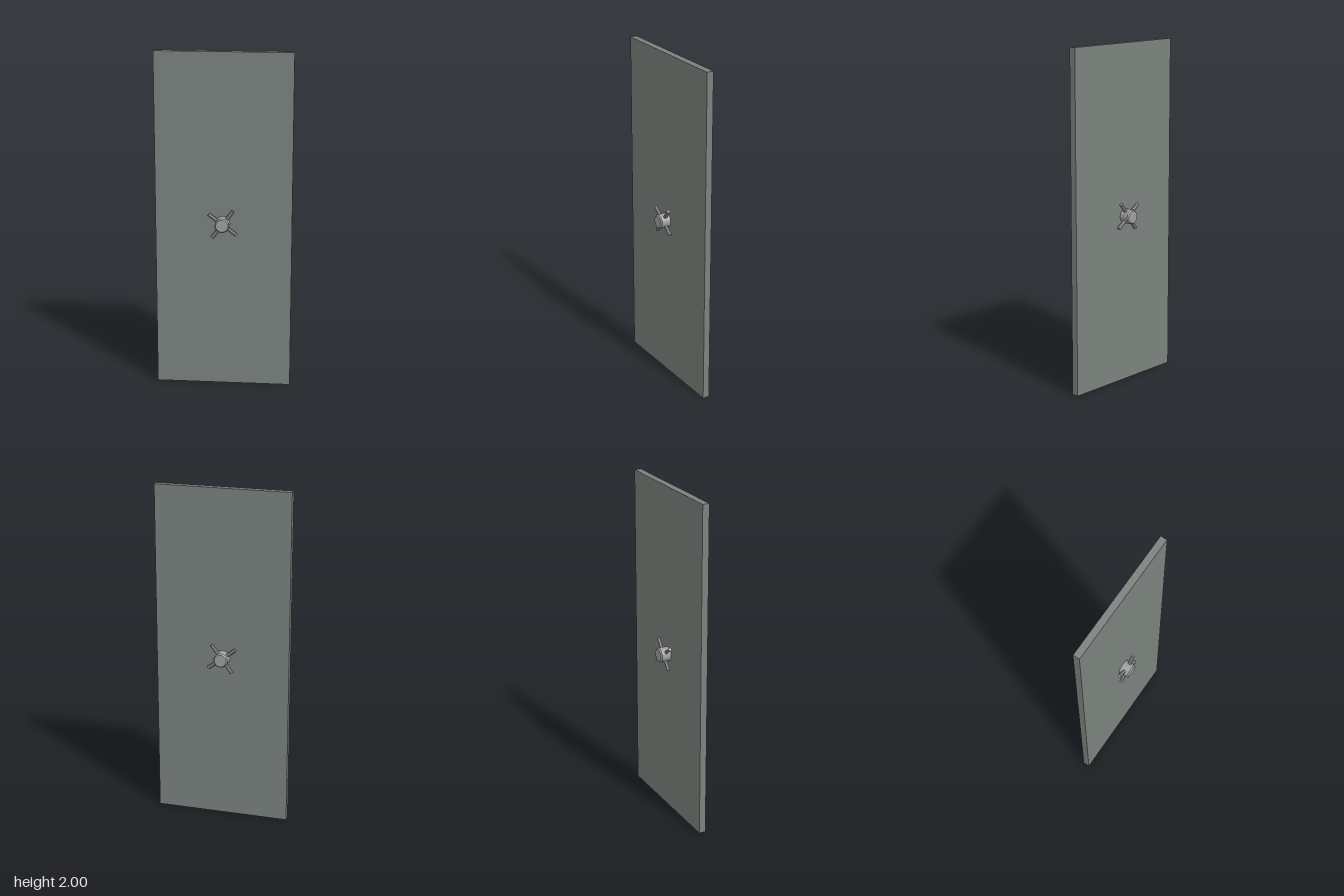
import * as THREE from 'three';

export function createModel() {
  const model = new THREE.Group();
  const panelGrey = new THREE.MeshStandardMaterial({ color: 0x7b827e, flatShading: true });
  panelGrey.name = 'panelGrey';
  const metalGrey = new THREE.MeshStandardMaterial({ color: 0xa0a0a0, flatShading: true });
  metalGrey.name = 'metalGrey';

  const add = (parent, name, geometry, material) => {
    const mesh = new THREE.Mesh(geometry, material);
    mesh.name = name;
    parent.add(mesh);
    return mesh;
  };

  // Thin door slab
  add(model, 'doorPanel', new THREE.BoxGeometry(0.795, 2, 0.04), panelGrey).position.y = 1;

  // Handle passing through the slab
  const handle = new THREE.Group();
  handle.name = 'handle';
  handle.position.set(-0.005, 1, 0);
  model.add(handle);

  // Hub with chamfered rims and closed ends
  const profile = [[0, -0.082], [0.036, -0.082], [0.0425, -0.075], [0.0425, 0.075], [0.036, 0.082], [0, 0.082]]
    .map(([r, y]) => new THREE.Vector2(r, y));
  add(handle, 'hub', new THREE.LatheGeometry(profile, 16).rotateX(Math.PI / 2), metalGrey);

  // Two crossed bars on each side
  const barGeometry = new THREE.CylinderGeometry(0.0105, 0.0105, 0.202, 8);
  for (const z of [-0.047, 0.047]) {
    for (const angle of [-37, 53]) {
      const bar = add(handle, z > 0 ? 'frontBar' : 'backBar', barGeometry, metalGrey);
      bar.position.set(0.001, 0, z);
      bar.rotation.z = THREE.MathUtils.degToRad(angle - 90);
    }
  }
  return model;
}
